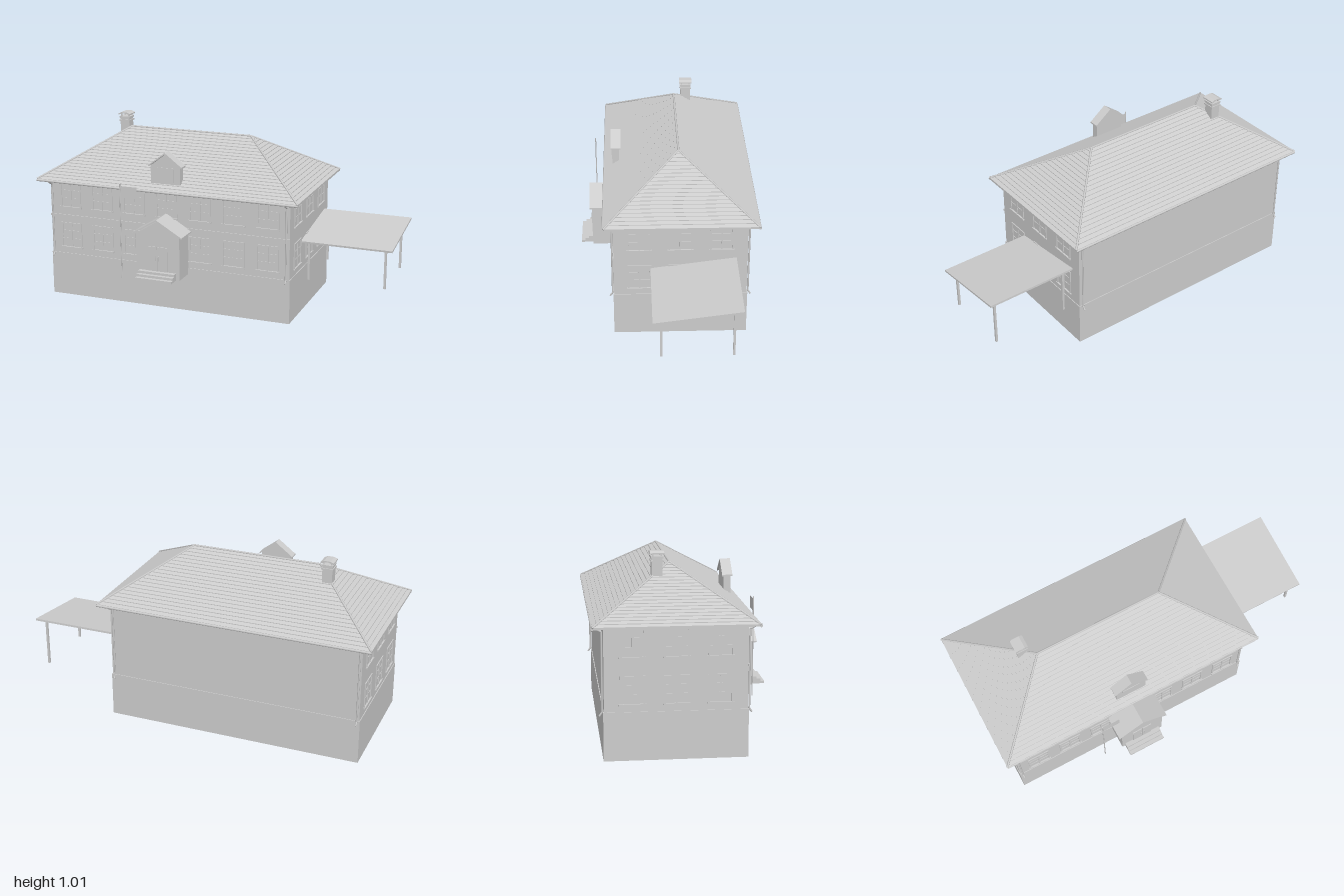
import * as THREE from 'three';

const grey = new THREE.MeshStandardMaterial({ color: 0xcccccc });
grey.name = 'plain grey';
const sheet = new THREE.MeshStandardMaterial({ color: 0xcccccc, side: THREE.DoubleSide });
sheet.name = 'plain grey sheet';

function add(parent, name, geometry, material = grey) {
  const mesh = new THREE.Mesh(geometry, material);
  mesh.name = name;
  parent.add(mesh);
  return mesh;
}

// Box given by its two opposite corners
function box(parent, name, x0, x1, y0, y1, z0, z1) {
  const mesh = add(parent, name, new THREE.BoxGeometry(x1 - x0, y1 - y0, z1 - z0));
  mesh.position.set((x0 + x1) / 2, (y0 + y1) / 2, (z0 + z1) / 2);
  return mesh;
}

// Outline in x and y, pushed from z0 to z1
function prism(parent, name, points, z0, z1) {
  const shape = new THREE.Shape(points.map(([x, y]) => new THREE.Vector2(x, y)));
  const geometry = new THREE.ExtrudeGeometry(shape, { depth: z1 - z0, bevelEnabled: false });
  return add(parent, name, geometry).translateZ(z0);
}

// Round bar along a run of points
function bar(parent, name, points, radius, sides = 6) {
  for (let i = 1; i < points.length; i++) {
    const a = new THREE.Vector3(...points[i - 1]), b = new THREE.Vector3(...points[i]);
    const dir = b.clone().sub(a);
    const mesh = add(parent, name, new THREE.CylinderGeometry(radius, radius, dir.length(), sides));
    mesh.position.copy(a).add(b).multiplyScalar(0.5);
    mesh.quaternion.setFromUnitVectors(new THREE.Vector3(0, 1, 0), dir.normalize());
  }
}

// Hipped roof in overlapping courses of shingles
function hipRoof(eave, ridge, courses, lift) {
  const corner = (t, h) => [[0, 1], [1, 1], [1, 0], [0, 0]].map(([i, j]) => [
    THREE.MathUtils.lerp(eave.x[i], ridge.x[i], t),
    THREE.MathUtils.lerp(eave.y, ridge.y, t) + h,
    THREE.MathUtils.lerp(eave.z[j], ridge.z, t)]);
  const rings = [corner(0, 0)];
  for (let i = 0; i < courses; i++) {
    rings.push(corner(i / courses, lift), corner((i + 1) / courses, 0));
  }
  const position = [];
  for (let r = 1; r < rings.length; r++) {
    for (let j = 0; j < 4; j++) {
      const k = (j + 1) % 4, a = rings[r - 1], b = rings[r];
      position.push(...a[j], ...a[k], ...b[k], ...a[j], ...b[k], ...b[j]);
    }
  }
  const geometry = new THREE.BufferGeometry();
  geometry.setAttribute('position', new THREE.Float32BufferAttribute(position, 3));
  geometry.computeVertexNormals();
  return geometry;
}

// Framed window with glazing bars and a sill; origin at its bottom centre on the wall
function makeWindow(w, h) {
  const g = new THREE.Group();
  g.name = 'window';
  const f = 0.009, d = 0.005;
  for (const s of [-1, 1]) {
    const x = s * (w / 2 - f / 2);
    box(g, 'windowJamb', x - f / 2, x + f / 2, 0, h, 0, d);
  }
  box(g, 'windowHead', -w / 2, w / 2, h - f, h, 0, d);
  box(g, 'windowSill', -w / 2 - 0.004, w / 2 + 0.004, -0.005, 0.003, 0, 0.009);
  box(g, 'windowMullion', -0.004, 0.004, 0, h - f, 0, 0.004);
  for (const t of [0.35, 0.67]) {
    box(g, 'glazingBar', -w / 2 + f, w / 2 - f, h * t - 0.002, h * t + 0.002, 0, 0.003);
  }
  return g;
}

export function createModel() {
  const model = new THREE.Group();
  model.name = 'house';
  const X0 = -0.94, X1 = 0.488, Z0 = -0.427, Z1 = 0.291;

  // Walls, plinth and storey band
  box(model, 'plinth', X0 - 0.004, X1 + 0.004, 0, 0.25, Z0 - 0.004, Z1 + 0.004);
  box(model, 'walls', X0, X1, 0.25, 0.682, Z0, Z1);
  box(model, 'frontBand', X0 - 0.003, X1 + 0.003, 0.467, 0.48, Z1, Z1 + 0.005);

  // Windows on the front and both ends
  function placeWindow(x, y, z, turn, h = 0.145) {
    const win = makeWindow(0.128, h);
    win.position.set(x, y, z);
    win.rotation.y = turn;
    model.add(win);
  }
  for (const y of [0.288, 0.526]) {
    for (let i = 0; i < 7; i++) {
      if (i === 3 && y < 0.5) continue;
      placeWindow(-0.815 + i * 0.1965, y, Z1, 0);
    }
    for (const z of [0.153, -0.066, -0.286]) {
      placeWindow(X1, y, z, Math.PI / 2);
      placeWindow(X0, y, z, -Math.PI / 2);
    }
  }

  // Main roof with soffit, gutters, hip caps and ridge cap
  const eave = { x: [-0.998, 0.543], y: 0.687, z: [-0.482, 0.342] };
  const ridge = { x: [-0.59, 0.138], y: 0.94, z: -0.067 };
  add(model, 'shingleRoof', hipRoof(eave, ridge, 20, 0.004));
  box(model, 'soffit', ...eave.x, 0.679, 0.688, ...eave.z);
  const capY = ridge.y + 0.001;
  bar(model, 'ridgeCap', [[ridge.x[0], capY, ridge.z], [ridge.x[1], capY, ridge.z]], 0.006);
  for (const i of [0, 1]) {
    for (const z of eave.z) {
      bar(model, 'hipCap', [[eave.x[i], 0.689, z], [ridge.x[i], capY, ridge.z]], 0.006);
    }
    const z = eave.z[i];
    bar(model, 'gutter', [[eave.x[0], 0.682, z], [eave.x[1], 0.682, z]], 0.007, 8);
    // Downpipes with a kicked-out foot
    const s = i ? 1 : -1, wall = i ? Z1 : Z0;
    for (const x of [X0 + 0.012, X1 - 0.018]) {
      bar(model, 'downpipe', [[x, 0.677, z], [x, 0.655, wall + s * 0.008],
        [x, 0.25, wall + s * 0.008], [x, 0.23, wall + s * 0.022]], 0.005);
    }
  }

  // Chimney with collar, corner posts and an arched cap
  box(model, 'chimneyStack', -0.685, -0.63, 0.78, 0.975, -0.166, -0.111);
  box(model, 'chimneyCollar', -0.69, -0.625, 0.956, 0.965, -0.171, -0.106);
  box(model, 'chimneyCollar', -0.689, -0.626, 0.974, 0.984, -0.17, -0.107);
  for (const x of [-0.682, -0.639]) {
    for (const z of [-0.163, -0.12]) box(model, 'chimneyPost', x, x + 0.006, 0.982, 1.002, z, z + 0.006);
  }
  prism(model, 'chimneyCap', [[-0.693, 0.994], [-0.658, 1.004], [-0.622, 0.994],
    [-0.622, 1.001], [-0.64, 1.009], [-0.675, 1.009], [-0.693, 1.001]], -0.175, -0.102);

  // Shallow gabled dormer on the front slope
  const cx = -0.227;
  prism(model, 'dormer', [[cx - 0.087, 0.718], [cx + 0.087, 0.718], [cx + 0.087, 0.818],
    [cx, 0.885], [cx - 0.087, 0.818]], 0.257, 0.296);
  function gable(name, half, low, high, t, z0, z1) {
    prism(model, name, [[cx - half, low], [cx, high - t], [cx + half, low],
      [cx + half, low + t], [cx, high], [cx - half, low + t]], z0, z1);
  }
  gable('dormerRoof', 0.098, 0.813, 0.895, 0.008, 0.248, 0.304);
  box(model, 'dormerShutter', cx - 0.05, cx + 0.05, 0.73, 0.81, 0.296, 0.299);

  // Entrance porch with gable roof, double door and steps
  prism(model, 'porch', [[-0.353, 0.215], [-0.098, 0.215], [-0.098, 0.46],
    [cx, 0.54], [-0.353, 0.46]], Z1, 0.418);
  gable('porchRoof', 0.148, 0.456, 0.551, 0.008, Z1, 0.433);
  for (const s of [-1, 1]) {
    box(model, 'doorLeaf', cx + s * 0.03 - 0.028, cx + s * 0.03 + 0.028, 0.256, 0.395, 0.418, 0.423);
    bar(model, 'doorHandle', [[cx + s * 0.009, 0.315, 0.425], [cx + s * 0.009, 0.345, 0.425]], 0.003);
  }
  for (let i = 0; i < 3; i++) {
    box(model, 'step', cx - 0.108, cx + 0.108, 0.215, 0.228 + i * 0.0135, 0.418, 0.485 - i * 0.021);
  }

  // Flagpole and flag beside the porch
  bar(model, 'flagpole', [[-0.455, 0.18, 0.397], [-0.455, 0.725, 0.397]], 0.003);
  const flag = add(model, 'flag', new THREE.PlaneGeometry(0.1, 0.066), sheet);
  flag.position.set(-0.404, 0.679, 0.397);

  // Sloping side canopy on four posts
  const canopy = prism(model, 'canopyRoof', [[-0.093, 0.403], [0.368, 0.462],
    [0.367, 0.473], [-0.094, 0.413]], X1, 1.0);
  canopy.position.set(X1, 0, 0);
  canopy.rotation.y = Math.PI / 2;
  for (const x of [0.525, 0.955]) {
    for (const [z, top] of [[0.049, 0.415], [-0.324, 0.462]]) {
      box(model, 'canopyPost', x - 0.006, x + 0.006, 0.18, top, z - 0.006, z + 0.006);
    }
  }
  return model;
}
